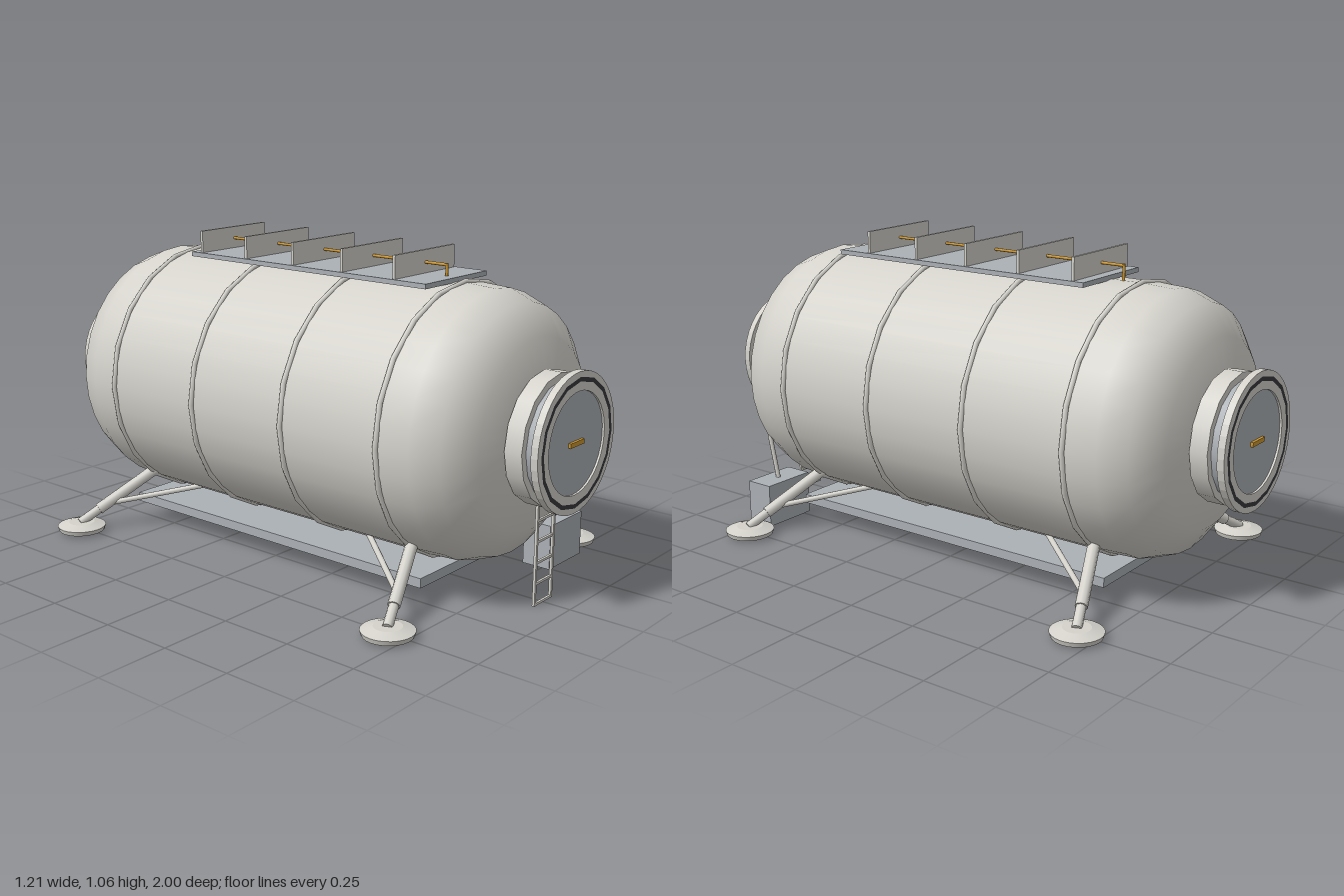
import * as THREE from 'three';

const mat = (name, color, side = THREE.FrontSide) => {
  const m = new THREE.MeshStandardMaterial({ color, side });
  m.name = name;
  return m;
};

export function createModel() {
  const model = new THREE.Group();
  model.name = 'habitatModule';
  const shell = mat('warm white shell', 0xd4d2cb);
  const steel = mat('blue grey metal', 0xacb1b6);
  const seal = mat('dark rubber seal', 0x38393c);
  const amber = mat('amber fittings', 0xcb962f);
  const AXIS_Y = 0.538;

  const add = (name, geo, material, parent = model, x = 0, y = 0, z = 0) => {
    const mesh = new THREE.Mesh(geo, material);
    mesh.name = name;
    mesh.position.set(x, y, z);
    parent.add(mesh);
    return mesh;
  };
  const box = (name, w, h, d, material, x, y, z, parent = model) =>
    add(name, new THREE.BoxGeometry(w, h, d), material, parent, x, y, z);

  // Round rod between two points
  const rod = (name, a, b, r, material, parent = model, sides = 10) => {
    const p = new THREE.Vector3(...a), q = new THREE.Vector3(...b);
    const dir = q.clone().sub(p);
    const mesh = add(name, new THREE.CylinderGeometry(r, r, dir.length(), sides), material, parent);
    mesh.position.copy(p).add(q).multiplyScalar(0.5);
    mesh.quaternion.setFromUnitVectors(new THREE.Vector3(0, 1, 0), dir.normalize());
    return mesh;
  };

  // Solid of revolution lying along z; points are [radius, z] from low z to high z
  const turned = (points, sides) => {
    const g = new THREE.LatheGeometry(points.map(([r, z]) => new THREE.Vector2(r, z)), sides);
    return g.rotateX(Math.PI / 2);
  };

  // Pressure hull with domed ends
  const dome = [[0.44, 0.58], [0.434, 0.69], [0.4, 0.78], [0.305, 0.852], [0.16, 0.874], [0, 0.886]];
  const hullProfile = [...dome.map(([r, z]) => [r, -z]).reverse(), ...dome];
  add('pressureHull', turned(hullProfile, 32), shell, model, 0, AXIS_Y, 0);

  // Reinforcing hoops
  for (const z of [-0.577, -0.197, 0.197, 0.577])
    add('hullHoop', new THREE.TorusGeometry(0.443, 0.009, 8, 20), shell, model, 0, AXIS_Y, z);

  // Docking hatch at each end, built facing +z
  const cylinderZ = (r, depth, sides) =>
    new THREE.CylinderGeometry(r, r, depth, sides).rotateX(Math.PI / 2);
  for (const end of [0, Math.PI]) {
    const hatch = new THREE.Group();
    hatch.name = end ? 'rearHatch' : 'frontHatch';
    hatch.position.y = AXIS_Y;
    hatch.rotation.y = end;
    add('hatchCollar', cylinderZ(0.21, 0.06, 16), shell, hatch, 0, 0, 0.906);
    add('hatchNeck', cylinderZ(0.187, 0.045, 16), steel, hatch, 0, 0, 0.955);

    const ringShape = new THREE.Shape().absarc(0, 0, 0.222, 0, Math.PI * 2);
    ringShape.holes.push(new THREE.Path().absarc(0, 0, 0.162, 0, Math.PI * 2, true));
    const ring = new THREE.ExtrudeGeometry(ringShape, { depth: 0.024, bevelEnabled: false, curveSegments: 20 });
    add('hatchFlange', ring, shell, hatch, 0, 0, 0.974);
    add('hatchSeal', new THREE.RingGeometry(0.191, 0.205, 16), seal, hatch, 0, 0, 0.9995);
    add('hatchDoor', cylinderZ(0.163, 0.014, 28), steel, hatch, 0, 0, 0.984);
    box('hatchHandle', 0.078, 0.015, 0.009, amber, 0, 0, 0.9955, hatch);
    model.add(hatch);
  }

  // Roof radiator with cross fins
  box('roofPanel', 0.33, 0.016, 1.01, steel, 0, 0.983, 0.042);
  for (let i = -2; i <= 2; i++)
    box('radiatorFin', 0.316, 0.076, 0.01, shell, 0, 1.028, i * 0.21);

  // Coolant pipe over the roof, turned down at both ends
  rod('coolantPipe', [0, 1.026, -0.511], [0, 1.026, 0.511], 0.005, amber, model, 8);
  for (const s of [-1, 1])
    rod('coolantPipeEnd', [0, 0.97, s * 0.508], [0, 1.031, s * 0.508], 0.005, amber, model, 8);

  // Belly plate
  box('bellyPlate', 0.58, 0.032, 1.28, steel, 0, 0.084, 0);

  // Four landing legs
  for (const sx of [-1, 1]) for (const sz of [-1, 1]) {
    const leg = new THREE.Group();
    leg.name = (sz > 0 ? 'front' : 'rear') + (sx > 0 ? 'Left' : 'Right') + 'Leg';
    const at = (x, y, z) => [sx * x, y, sz * z];
    rod('mainStrut', at(0.525, 0.035, 0.695), at(0.24, 0.205, 0.575), 0.016, shell, leg);
    rod('strutSleeve', at(0.46, 0.074, 0.668), at(0.24, 0.205, 0.575), 0.02, shell, leg);
    rod('sideBrace', at(0.42, 0.09, 0.655), at(0.22, 0.165, 0.38), 0.01, shell, leg, 8);
    add('footPad', new THREE.CylinderGeometry(0.085, 0.08, 0.016, 24), shell, leg, sx * 0.52, 0.018, sz * 0.693);
    add('footPadTop', new THREE.CylinderGeometry(0.045, 0.085, 0.012, 24), shell, leg, sx * 0.52, 0.032, sz * 0.693);
    model.add(leg);
  }

  // Boarding ladder
  for (const x of [-0.048, 0.048])
    box('ladderRail', 0.009, 0.33, 0.009, shell, x, 0.168, 0.9);
  for (let i = 0; i < 5; i++)
    box('ladderRung', 0.096, 0.008, 0.008, shell, 0, 0.007 + i * 0.069, 0.9);

  // Equipment box and its feed line
  box('equipmentBox', 0.198, 0.152, 0.102, steel, 0.33, 0.084, 0.733);
  rod('feedLine', [0.333, 0.15, 0.731], [0.333, 0.315, 0.767], 0.008, shell, model, 8);

  return model;
}
